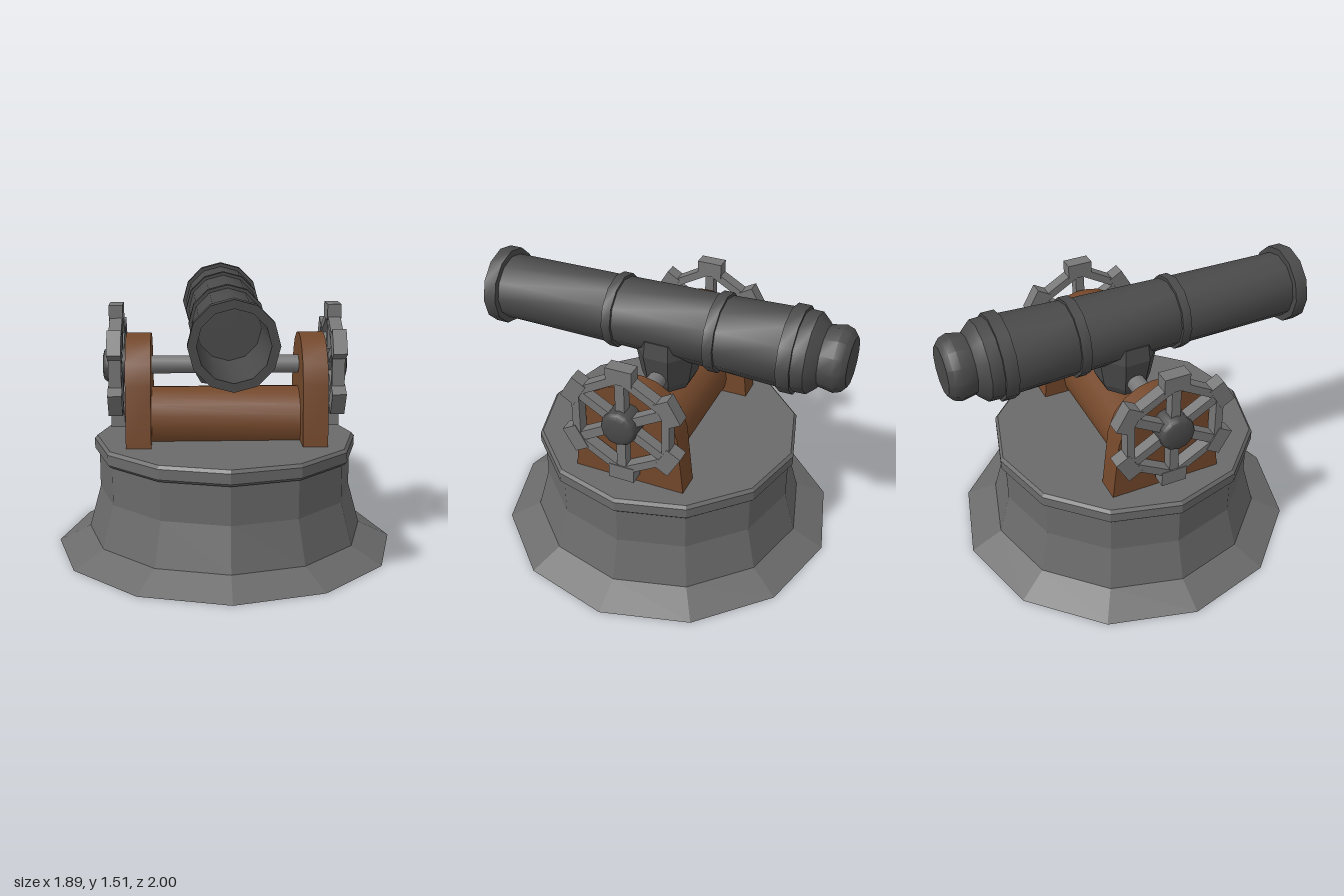
import * as THREE from 'three';
import { toCreasedNormals } from 'three/addons/utils/BufferGeometryUtils.js';

const mat = (color, flatShading = false) => new THREE.MeshStandardMaterial({ color, flatShading });
const stone = mat(0x6a6a6a, true);
const iron = mat(0x4a4a4a);
const ironFlat = mat(0x4a4a4a, true);
const steel = mat(0x777777);
const steelFlat = mat(0x777777, true);
const wood = mat(0x74482b);

const CZ = -0.015;     // shared centre of the carriage in z
const AXLE_Y = 1.015;

const pts = list => list.map(([r, y]) => new THREE.Vector2(r, y));
const lathe = (list, sides) => new THREE.LatheGeometry(pts(list), sides);
const crease = (geo, angle = 0.6) => toCreasedNormals(geo, angle);

function add(parent, name, geo, material, x = 0, y = 0, z = 0) {
  const mesh = new THREE.Mesh(geo, material);
  mesh.name = name;
  mesh.position.set(x, y, z);
  parent.add(mesh);
  return mesh;
}

// Six-spoked wheel in the yz plane, with square blocks at the corners
function makeWheel() {
  const wheel = new THREE.Group();
  const t = 0.075;
  for (let i = 0; i < 6; i++) {
    const sector = new THREE.Group();
    sector.name = 'wheelSector';
    sector.rotation.x = i * Math.PI / 3;
    add(sector, 'wheelBlock', new THREE.BoxGeometry(t, 0.085, 0.14), steelFlat, 0, 0.295, 0);
    add(sector, 'spoke', new THREE.BoxGeometry(t * 0.8, 0.26, 0.05), steelFlat, 0, 0.13, 0);
    const rim = add(sector, 'rimBar', new THREE.BoxGeometry(t * 0.9, 0.042, 0.27), steelFlat);
    rim.rotation.x = Math.PI / 6;
    rim.position.set(0, 0.246 * Math.cos(Math.PI / 6), 0.246 * Math.sin(Math.PI / 6));
    wheel.add(sector);
  }
  // Rounded hub cap
  const hub = lathe([[0, -0.05], [0.095, -0.05], [0.095, 0.055], [0.085, 0.07], [0.06, 0.078], [0, 0.08]], 12);
  hub.rotateZ(-Math.PI / 2);
  add(wheel, 'hub', crease(hub, 0.7), iron);
  return wheel;
}

export function createModel() {
  const model = new THREE.Group();
  model.name = 'cannon';

  // Twelve-sided pedestal with flared foot
  add(model, 'pedestal', lathe([[0, 0], [0.945, 0], [0.77, 0.085], [0.705, 0.32], [0.705, 0.55], [0, 0.55]], 12), stone, 0, 0, CZ);
  add(model, 'platform', lathe([[0, 0.53], [0.715, 0.53], [0.73, 0.545], [0.73, 0.6], [0.715, 0.617], [0, 0.617]], 12), stone, 0, 0, CZ);

  // Barrel with bands, muzzle lip, hollow bore and rounded breech
  const barrel = lathe([
    [0, -1], [0.13, -1], [0.16, -0.975], [0.174, -0.935], [0.16, -0.86], [0.172, -0.85],
    [0.212, -0.805], [0.214, -0.74], [0.23, -0.74], [0.23, -0.67], [0.21, -0.67],
    [0.198, -0.33], [0.213, -0.33], [0.213, -0.275], [0.196, -0.275],
    [0.186, 0.245], [0.202, 0.245], [0.202, 0.295], [0.185, 0.295],
    [0.178, 0.93], [0.212, 0.93], [0.212, 1], [0.17, 1], [0.165, 0.45], [0, 0.45],
  ], 12);
  barrel.rotateX(Math.PI / 2);
  add(model, 'barrel', crease(barrel), iron, 0, 1.284, 0);

  // Tapered saddle joining barrel and axle
  const saddle = lathe([[0, 0.92], [0.145, 0.92], [0.175, 0.97], [0.213, 1.15], [0.2, 1.24], [0, 1.24]], 8);
  saddle.rotateY(Math.PI / 8);
  saddle.scale(1, 1, 0.85);
  add(model, 'saddle', saddle, ironFlat, 0, 0, CZ);

  // Axle and wooden cross beam
  const axle = new THREE.CylinderGeometry(0.05, 0.05, 1.28, 16).rotateZ(Math.PI / 2);
  add(model, 'axle', crease(axle), steel, 0, AXLE_Y, CZ);
  const beam = new THREE.CylinderGeometry(0.183, 0.183, 0.84, 20).rotateZ(Math.PI / 2);
  add(model, 'crossBeam', crease(beam), wood, 0, 0.707, CZ);

  // Arched wooden cheeks and wheels on both sides
  const half = [[0.308, 0.6], [0.272, 0.95], [0.235, 1.06], [0.175, 1.13], [0.1, 1.175], [0.03, 1.19]];
  const outline = [...half, ...half.map(([z, y]) => [-z, y]).reverse()];
  const cheekGeo = new THREE.ExtrudeGeometry(new THREE.Shape(pts(outline)), { depth: 0.135, bevelEnabled: false });
  cheekGeo.translate(0, 0, -0.0675);
  cheekGeo.rotateY(Math.PI / 2);
  for (const side of [1, -1]) {
    add(model, side > 0 ? 'leftCheek' : 'rightCheek', crease(cheekGeo), wood, side * 0.4725, 0, CZ);
    const wheel = makeWheel();
    wheel.name = side > 0 ? 'leftWheel' : 'rightWheel';
    wheel.position.set(side * 0.592, AXLE_Y, CZ);
    if (side < 0) wheel.rotation.y = Math.PI;
    model.add(wheel);
  }
  return model;
}
